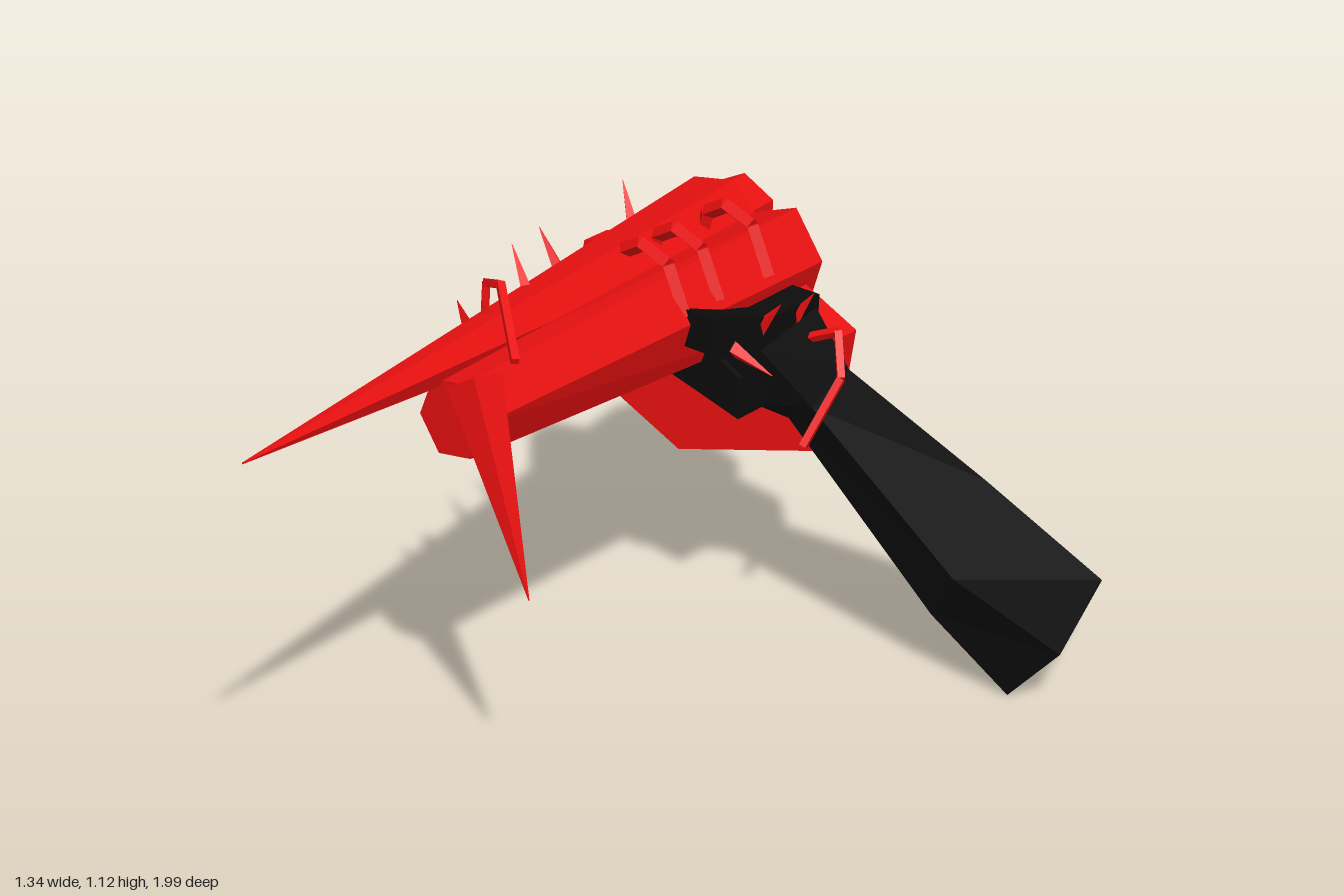
import * as THREE from 'three';

const mat = (color) => new THREE.MeshStandardMaterial({ color, flatShading: true });
const red = mat(0xe81010), black = mat(0x0c0c0c);

// Skin a list of equal-sized rings of [x, y, z] points and cap both ends
function loft(name, rings, material) {
  const tris = [], n = rings[0].length;
  const centre = (r) => [0, 1, 2].map((k) => r.reduce((s, p) => s + p[k], 0) / n);
  for (let i = 0; i < rings.length - 1; i++)
    for (let j = 0; j < n; j++) {
      const k = (j + 1) % n, a = rings[i], b = rings[i + 1];
      tris.push([a[j], a[k], b[k]], [a[j], b[k], b[j]]);
    }
  const first = rings[0], last = rings[rings.length - 1];
  const c0 = centre(first), c1 = centre(last);
  for (let j = 0; j < n; j++) {
    const k = (j + 1) % n;
    tris.push([c0, first[k], first[j]], [c1, last[j], last[k]]);
  }
  // Turn the faces outwards whichever way the rings run
  const v = (p) => new THREE.Vector3(...p);
  const volume = tris.reduce((s, [a, b, c]) => s + v(a).sub(v(c0)).dot(v(b).sub(v(c0)).cross(v(c).sub(v(c0)))), 0);
  const flat = tris.flatMap(([a, b, c]) => (volume > 0 ? [a, b, c] : [a, c, b]).flat());
  const geo = new THREE.BufferGeometry();
  geo.setAttribute('position', new THREE.Float32BufferAttribute(flat, 3));
  geo.computeVertexNormals();
  const mesh = new THREE.Mesh(geo, material);
  mesh.name = name;
  return mesh;
}

// Six-sided ring facing z, with optional roll
function hex(x, y, z, rx, ry, roll = 0) {
  return Array.from({ length: 6 }, (_, i) => {
    const a = (i * Math.PI) / 3 + Math.PI / 2;
    const u = Math.cos(a) * rx, w = Math.sin(a) * ry;
    return [x + u * Math.cos(roll) - w * Math.sin(roll), y + u * Math.sin(roll) + w * Math.cos(roll), z];
  });
}

// Tapered rod from a to b
function rod(name, a, b, r0, r1, sides = 4) {
  const p = new THREE.Vector3(...a), q = new THREE.Vector3(...b);
  const mesh = new THREE.Mesh(new THREE.CylinderGeometry(r1, r0, p.distanceTo(q), sides), red);
  mesh.position.copy(p).add(q).multiplyScalar(0.5);
  mesh.quaternion.setFromUnitVectors(new THREE.Vector3(0, 1, 0), q.sub(p).normalize());
  mesh.name = name;
  return mesh;
}

// Angular hoop made of straight rods
function hoop(name, points, r) {
  const g = new THREE.Group();
  g.name = name;
  for (let i = 0; i < points.length - 1; i++) g.add(rod(name + 'Segment', points[i], points[i + 1], r, r));
  return g;
}

export function createModel() {
  const model = new THREE.Group();

  // Long lance with its rear block
  model.add(loft('lance', [hex(-0.38, 0.895, -0.8, 0.125, 0.115, -0.3), hex(-0.11, 1.03, 0.99, 0.002, 0.002)], red));
  model.add(loft('lanceRearBlock', [hex(-0.405, 0.885, -0.91, 0.1, 0.088), hex(-0.39, 0.885, -0.75, 0.1, 0.088)], red));

  // Barrel with its rear block
  model.add(loft('barrel', [hex(-0.21, 0.83, -0.8, 0.125, 0.165, -0.3), hex(-0.145, 0.885, 0.365, 0.09, 0.1, -0.4)], red));
  model.add(loft('barrelRearBlock', [hex(-0.195, 0.79, -0.83, 0.07, 0.1, -0.3), hex(-0.195, 0.8, -0.75, 0.07, 0.1, -0.3)], red));

  // Hexagonal guard plate, slightly tilted
  const outline = [[-0.63, 0.84], [-0.67, 0.56], [-0.35, 0.38], [0.01, 0.47], [0.04, 0.75], [-0.27, 0.93]];
  const plate = (offset) => outline.map(([x, y]) =>
    [x, y, -0.675 - 0.155 * (x + 0.31) - 0.06 * (y - 0.65) + offset]);
  model.add(loft('guardPlate', [plate(-0.04), plate(0.04)], red));

  // Forearm from wrist to elbow
  model.add(loft('forearm', [
    [[-0.03, 0.64, -0.5], [0.0, 0.79, -0.48], [-0.01, 0.82, -0.69], [-0.06, 0.68, -0.7]],
    [[0.02, 0.6, -0.56], [0.1, 0.66, -0.54], [0.08, 0.69, -0.7], [0.0, 0.63, -0.7]],
    [[0.36, 0.17, -0.67], [0.44, 0.3, -0.64], [0.36, 0.44, -0.86], [0.24, 0.32, -0.88]],
    [[0.54, 0, -0.73], [0.67, 0.15, -0.74], [0.6, 0.21, -1], [0.47, 0.07, -1]],
  ], black));

  // Hand: palm with thumb beside the barrel, fingers wrapped beneath
  const palm = [[-0.32, 0.92], [-0.32, 0.83], [-0.43, 0.77], [-0.43, 0.68], [-0.52, 0.63],
    [-0.6, 0.61], [-0.69, 0.66], [-0.7, 0.85], [-0.54, 0.85]];
  model.add(loft('palm', [-0.11, -0.01].map((x) => palm.map(([z, y]) => [x, y, z])), black));
  const finger = (x, lo, hi, z) => [[x, lo, z - 0.055], [x, lo, z + 0.055], [x, hi, z + 0.055], [x, hi, z - 0.055]];
  for (const z of [-0.47, -0.59])
    model.add(loft('finger', [finger(-0.01, 0.64, 0.74, z), finger(-0.12, 0.67, 0.8, z), finger(-0.37, 0.735, 0.82, z)], black));

  // Hooked spike at the muzzle
  model.add(rod('muzzleSpike', [-0.115, 0.97, 0.325], [0.12, 0.57, 0.42], 0.06, 0.001));

  // Three bands over the barrel
  for (const z of [-0.335, -0.45, -0.625])
    model.add(hoop('band', [[-0.3, 0.92, z], [-0.28, 1.0, z], [-0.22, 1.035, z + 0.005],
      [-0.14, 1.01, z + 0.01], [-0.09, 0.9, z + 0.01]], 0.018));

  // Bent hoops at the muzzle and wrist
  model.add(hoop('muzzleHoop', [[-0.27, 0.96, 0.13], [-0.265, 1.08, 0.125], [-0.19, 1.11, 0.16], [-0.04, 1.02, 0.28]], 0.012));
  model.add(hoop('wristHoop', [[-0.07, 0.73, -0.62], [0.01, 0.77, -0.635], [0.08, 0.8, -0.655],
    [0.135, 0.72, -0.6], [0.11, 0.58, -0.5]], 0.012));

  // Thorns along the lance and on the hand: base, then tip
  const thorns = [
    [[-0.4, 0.95, -0.51], [-0.47, 1.05, -0.55]],
    [[-0.34, 0.96, -0.2], [-0.4, 1.07, -0.19]],
    [[-0.29, 0.97, -0.04], [-0.38, 1.07, -0.08]],
    [[-0.27, 0.97, 0.17], [-0.28, 1.06, 0.2]],
    [[-0.02, 0.82, -0.4], [0.09, 0.78, -0.41]],
    [[-0.03, 0.82, -0.5], [0.03, 0.9, -0.51]],
    [[-0.03, 0.8, -0.62], [0.02, 0.88, -0.64]],
  ];
  for (const [base, tip] of thorns) model.add(rod('thorn', base, tip, 0.02, 0.001));

  return model;
}
